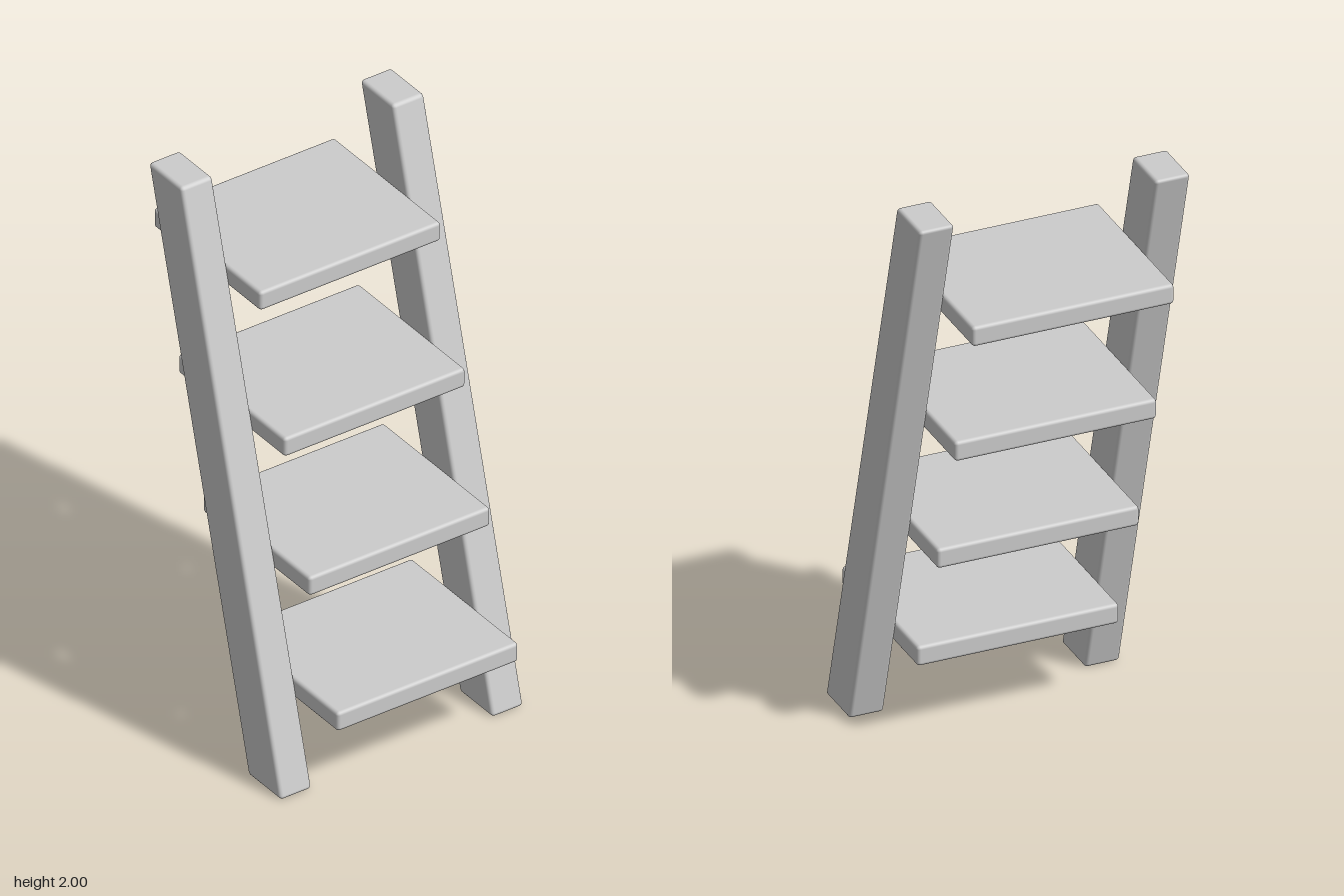
import * as THREE from 'three';
import { RoundedBoxGeometry } from 'three/addons/geometries/RoundedBoxGeometry.js';

export function createModel() {
  const model = new THREE.Group();
  model.name = 'leaningLadderShelf';
  const material = new THREE.MeshStandardMaterial({ color: 0xcccccc });

  // Side rails: upright bars sheared backwards so their ends stay level
  const railGeometry = new RoundedBoxGeometry(0.118, 2, 0.18, 2, 0.012);
  const lean = -0.27;
  railGeometry.applyMatrix4(new THREE.Matrix4().set(
    1, 0, 0, 0,
    0, 1, 0, 0,
    0, lean, 1, 0,
    0, 0, 0, 1
  ));
  for (const side of [-1, 1]) {
    const rail = new THREE.Mesh(railGeometry, material);
    rail.name = side > 0 ? 'leftRail' : 'rightRail';
    rail.position.set(side * 0.402, 1, 0);
    model.add(rail);
  }

  // Steps: level boards between the rails, [height, depth position]
  const stepGeometry = new RoundedBoxGeometry(0.688, 0.07, 0.58, 2, 0.012);
  const steps = [[0.324, 0.21], [0.748, 0.057], [1.196, -0.077], [1.671, -0.21]];
  steps.forEach(([y, z], i) => {
    const step = new THREE.Mesh(stepGeometry, material);
    step.name = `step${i + 1}`;
    step.position.set(0, y, z);
    model.add(step);
  });

  return model;
}
